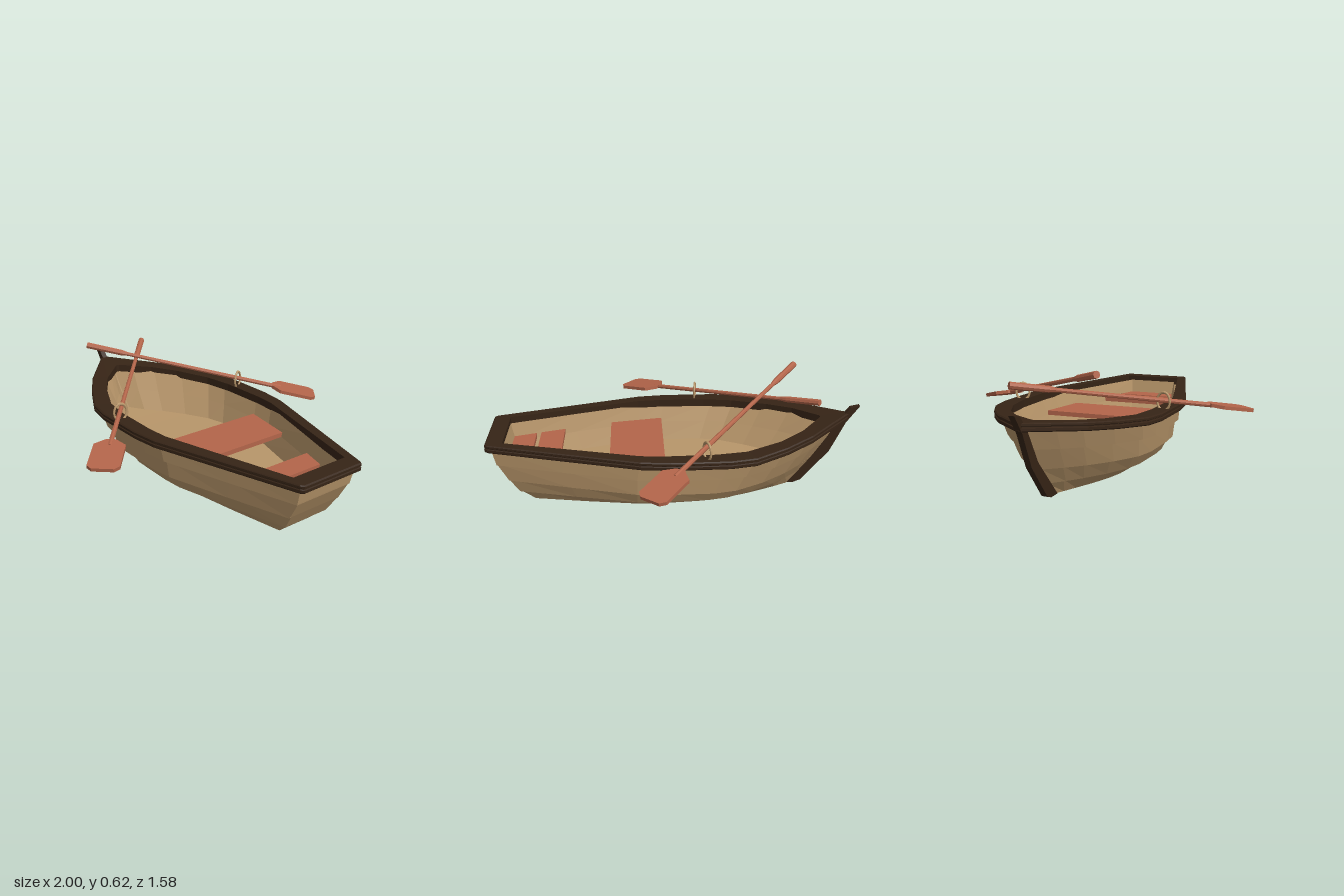
import * as THREE from 'three';

const material = (color) =>
  new THREE.MeshStandardMaterial({ color, flatShading: true, side: THREE.DoubleSide });
const TAN = material(0xb8966a), DARK = material(0x362416), RED = material(0xb3654a);

// Piecewise-linear lookup in a list of [key, value] pairs
function lookup(pairs, k) {
  let i = 1;
  while (i < pairs.length - 1 && k > pairs[i][0]) i++;
  const [a, va] = pairs[i - 1], [b, vb] = pairs[i];
  return va + (vb - va) * THREE.MathUtils.clamp((k - a) / (b - a), 0, 1);
}

// Skin a grid of [x, y, z] rows
function loft(rows, closed = false) {
  const n = rows[0].length, index = [];
  const last = closed ? rows.length : rows.length - 1;
  const columns = closed ? n : n - 1;
  for (let i = 0; i < last; i++) {
    for (let j = 0; j < columns; j++) {
      const i2 = (i + 1) % rows.length, j2 = (j + 1) % n;
      const a = i * n + j, b = i2 * n + j, c = i2 * n + j2, d = i * n + j2;
      index.push(a, b, c, a, c, d);
    }
  }
  const g = new THREE.BufferGeometry();
  g.setAttribute('position', new THREE.Float32BufferAttribute(rows.flat(2), 3));
  g.setIndex(index);
  g.computeVertexNormals();
  return g;
}

function add(parent, name, geometry, mat) {
  const mesh = new THREE.Mesh(geometry, mat);
  mesh.name = name;
  parent.add(mesh);
  return mesh;
}

// Flat outline extruded upward; outline points are [x, z]
function slab(points, thickness) {
  const shape = new THREE.Shape(points.map(([x, z]) => new THREE.Vector2(x, -z)));
  const g = new THREE.ExtrudeGeometry(shape, { depth: thickness, bevelEnabled: false });
  return g.rotateX(-Math.PI / 2);
}

// Hull rules: end rakes by height, centreline, bow sheer
const bowX = (y) => lookup([[0, -0.62], [0.2, -0.8], [0.36, -0.91]], y);
const sternX = (y) => lookup([[0, 0.77], [0.065, 0.845], [0.23, 0.945], [0.33, 0.97]], y);
const centreZ = (x) => lookup([[-0.9, 0], [-0.5, -0.018], [1, -0.02]], x);
const sheer = (x) => 0.045 * Math.pow(Math.max(0, (-0.35 - x) / 0.57), 1.4);

// Stations: fraction along the hull, half-width at the top, half-width at the bottom
const STATIONS = [
  [0, 0.008, 0.008], [0.055, 0.115, 0.042], [0.11, 0.205, 0.075], [0.19, 0.305, 0.12],
  [0.28, 0.39, 0.16], [0.35, 0.415, 0.18], [0.51, 0.415, 0.195], [0.59, 0.4, 0.195],
  [0.8, 0.288, 0.15], [1, 0.178, 0.1],
];
// Lapped planks, midship half-width and height
const PLANKS = [
  [0.195, 0], [0.275, 0.072], [0.3, 0.066], [0.347, 0.152], [0.368, 0.145],
  [0.383, 0.25], [0.402, 0.243], [0.415, 0.34],
];

function hullPoint([s, top, bottom], [w, y], side, insetW = 0, insetX = 0) {
  const f = (w - 0.195) / 0.22;
  const half = Math.max(0.004, bottom + (top - bottom) * f - insetW);
  const x = THREE.MathUtils.lerp(bowX(y) + insetX, sternX(y) - insetX, s);
  return [x, y + sheer(x) * (y / 0.34), centreZ(x) + side * half];
}

function buildHull(parent) {
  const across = (station, profile, ...inset) => [
    ...[...profile].reverse().map((p) => hullPoint(station, p, 1, ...inset)),
    ...profile.map((p) => hullPoint(station, p, -1, ...inset)),
  ];
  const endWall = (profile, ...inset) => loft(profile.map((p) =>
    [1, -1].map((side) => hullPoint(STATIONS[STATIONS.length - 1], p, side, ...inset))));

  add(parent, 'plankedHull', loft(STATIONS.map((s) => across(s, PLANKS))), TAN);
  add(parent, 'transom', endWall(PLANKS), TAN);

  const lining = [[0.35, 0.14], [0.383, 0.24], [0.415, 0.34]];
  add(parent, 'innerHullAndFloor', loft(STATIONS.map((s) => across(s, lining, 0.035, 0.06))), TAN);
  add(parent, 'innerTransom', endWall(lining, 0.035, 0.06), TAN);
}

// Gunwale plan: outer x, outer half-width, inner x, inner half-width
const RIM = [
  [-0.945, 0.012, -0.785, 0.01], [-0.7, 0.235, -0.66, 0.155], [-0.55, 0.335, -0.53, 0.25],
  [-0.38, 0.425, -0.34, 0.34], [-0.25, 0.45, -0.18, 0.365], [0.05, 0.452, 0.08, 0.37],
  [0.2, 0.435, 0.2, 0.36], [0.985, 0.197, 0.91, 0.168], [1, 0.185, 0.91, 0.16],
];

function buildRim(parent) {
  // Section: [outer-to-inner fraction, height], with a groove along the outer edge
  const section = [[0.06, 0.325], [0, 0.33], [0, 0.343], [0.06, 0.346], [0.06, 0.35],
    [0, 0.353], [0, 0.362], [0.08, 0.367], [1, 0.367], [1, 0.325]];
  const row = ([ox, ow, ix, iw], side) => section.map(([f, y]) => {
    const x = ox + (ix - ox) * f;
    return [x, y + sheer(x), centreZ(x) + side * (ow + (iw - ow) * f)];
  });
  const rows = [...RIM.map((r) => row(r, 1)), ...[...RIM].reverse().map((r) => row(r, -1))];
  add(parent, 'gunwale', loft(rows, true), DARK);
}

function buildStem(parent) {
  const outline = [[-1, 0.455], [-0.93, 0.36], [-0.85, 0.19], [-0.7, 0.015], [-0.66, 0],
    [-0.59, 0], [-0.785, 0.2], [-0.88, 0.36], [-0.95, 0.445]];
  const shape = new THREE.Shape(outline.map(([x, y]) => new THREE.Vector2(x, y)));
  const g = new THREE.ExtrudeGeometry(shape, { depth: 0.03, bevelEnabled: false });
  add(parent, 'stem', g.translate(0, 0, -0.015), DARK);
}

function buildBenches(parent) {
  // front x, front half-width, back x, back half-width
  const benches = [['middleBench', 0.07, 0.345, 0.36, 0.295], ['sternBenchFront', 0.62, 0.23, 0.75, 0.2],
    ['sternBenchBack', 0.775, 0.195, 0.905, 0.155]];
  for (const [name, x1, w1, x2, w2] of benches) {
    const c = -0.02;
    const g = slab([[x1, c - w1], [x1, c + w1], [x2, c + w2], [x2, c - w2]], 0.025);
    add(parent, name, g.translate(0, 0.24, 0), RED);
  }
}

// Oar laid along local x from handle to blade tip
function buildOar(name, handle, tip) {
  const from = new THREE.Vector3(...handle), to = new THREE.Vector3(...tip);
  const length = from.distanceTo(to), oar = new THREE.Group();
  oar.name = name;
  const rod = (part, x1, x2, r1, r2) => {
    const g = new THREE.CylinderGeometry(r2, r1, x2 - x1, 8);
    add(oar, part, g.rotateZ(-Math.PI / 2).translate((x1 + x2) / 2, 0, 0), RED);
  };
  rod('grip', 0, 0.2, 0.018, 0.017);
  rod('gripTaper', 0.2, 0.24, 0.017, 0.011);
  rod('shaft', 0.24, length - 0.2, 0.011, 0.013);
  const b = length - 0.25;
  const half = [[b, 0.025], [b + 0.045, 0.08], [length - 0.025, 0.08], [length, 0.055]];
  const outline = [...half, ...[...half].reverse().map(([x, z]) => [x, -z])];
  add(oar, 'blade', slab(outline, 0.018).translate(0, -0.009, 0), RED);

  const xAxis = to.clone().sub(from).normalize();
  const zAxis = xAxis.clone().cross(new THREE.Vector3(0, 1, 0)).normalize();
  const yAxis = zAxis.clone().cross(xAxis);
  oar.quaternion.setFromRotationMatrix(new THREE.Matrix4().makeBasis(xAxis, yAxis, zAxis));
  oar.position.copy(from);
  return oar;
}

export function createModel() {
  const boat = new THREE.Group();
  boat.name = 'rowingBoat';
  buildHull(boat);
  buildRim(boat);
  buildStem(boat);
  buildBenches(boat);
  boat.add(buildOar('leftOar', [-0.74, 0.54, -0.155], [0.255, 0.325, 0.745]));
  boat.add(buildOar('rightOar', [-0.68, 0.605, 0.26], [0.165, 0.32, -0.75]));

  // Rowlock rings around the oar shafts
  for (const [z, turn] of [[0.395, 0.15], [-0.415, -0.45]]) {
    const ring = add(boat, 'rowlock', new THREE.TorusGeometry(0.036, 0.006, 8, 20), TAN);
    ring.scale.y = 1.3;
    ring.rotation.y = Math.PI / 2 - turn;
    ring.position.set(-0.13, 0.403, z);
  }
  return boat;
}
